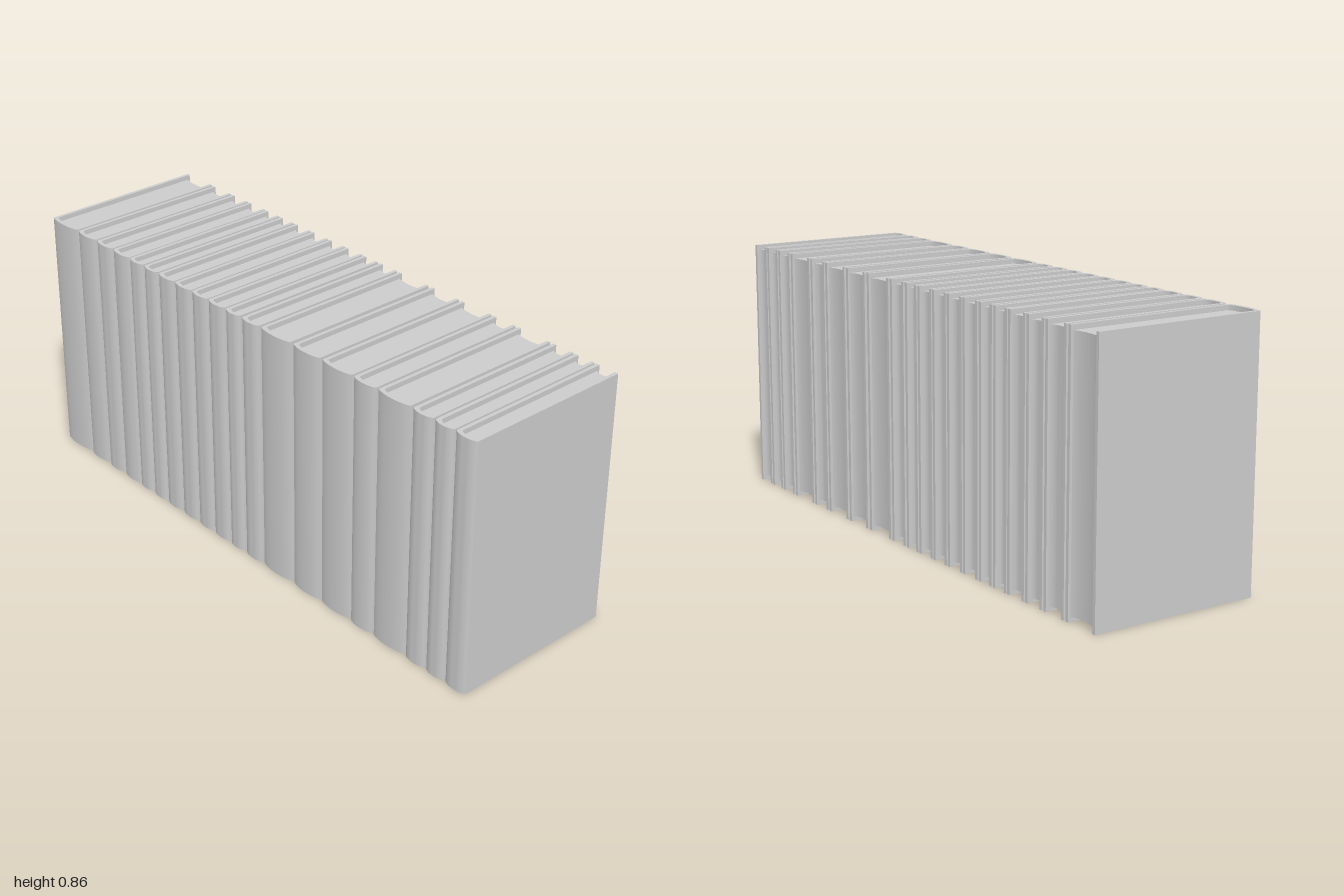
import * as THREE from 'three';
import { toCreasedNormals } from 'three/addons/utils/BufferGeometryUtils.js';

const HEIGHT = 0.86, BACK = -0.295, CORNER = 0.284, BULGE = 0.011;
const BOARD = 0.012, LIP = 0.016;
const material = new THREE.MeshStandardMaterial({ color: 0xcccccc });

// left and right edge of each book along the row
const books = [
  [-1, -0.862], [-0.853, -0.755], [-0.747, -0.664], [-0.657, -0.571], [-0.566, -0.497],
  [-0.489, -0.421], [-0.413, -0.334], [-0.328, -0.248], [-0.242, -0.166], [-0.16, -0.082],
  [-0.075, -0.008], [0.003, 0.082], [0.092, 0.225], [0.24, 0.358], [0.37, 0.497],
  [0.506, 0.598], [0.608, 0.738], [0.75, 0.829], [0.837, 0.911], [0.918, 1],
];

// extrude a plan outline (x, -z) upwards from y0 to y1
function extrudeUp(shape, y0, y1) {
  const geo = new THREE.ExtrudeGeometry(shape, { depth: y1 - y0, bevelEnabled: false, curveSegments: 10 });
  geo.rotateX(-Math.PI / 2).translate(0, y0, 0);
  return toCreasedNormals(geo, 0.6);
}

// arc-like spine curve from the current point to (x, z), bowed towards +z
function bow(shape, x, z, depth) {
  const from = shape.currentPoint.x, dx = x - from;
  shape.bezierCurveTo(from + dx * 0.2, -(z + depth * 1.33), from + dx * 0.8, -(z + depth * 1.33), x, -z);
}

// U-shaped hard cover with a rounded spine
function coverShape(w) {
  const h = w / 2, i = h - BOARD, s = new THREE.Shape();
  s.moveTo(-h, -BACK);
  s.lineTo(-h, -CORNER);
  bow(s, h, CORNER, BULGE);
  s.lineTo(h, -BACK);
  s.lineTo(i, -BACK);
  s.lineTo(i, -(CORNER - BOARD));
  bow(s, -i, CORNER - BOARD, BULGE);
  s.lineTo(-i, -BACK);
  s.closePath();
  return s;
}

// page block with a hollow fore edge
function pagesShape(w) {
  const i = w / 2 - BOARD, s = new THREE.Shape();
  s.moveTo(-i, -(BACK + 0.009));
  s.lineTo(-i, -(CORNER - BOARD));
  bow(s, i, CORNER - BOARD, BULGE);
  s.lineTo(i, -(BACK + 0.009));
  bow(s, -i, BACK + 0.009, 0.009);
  return s;
}

export function createModel() {
  const row = new THREE.Group();
  row.name = 'bookRow';
  for (const [x0, x1] of books) {
    const book = new THREE.Group();
    book.name = 'book';
    book.position.x = (x0 + x1) / 2;
    const cover = new THREE.Mesh(extrudeUp(coverShape(x1 - x0), 0, HEIGHT), material);
    cover.name = 'cover';
    const pages = new THREE.Mesh(extrudeUp(pagesShape(x1 - x0), LIP, HEIGHT - LIP), material);
    pages.name = 'pages';
    book.add(cover, pages);
    row.add(book);
  }
  return row;
}
